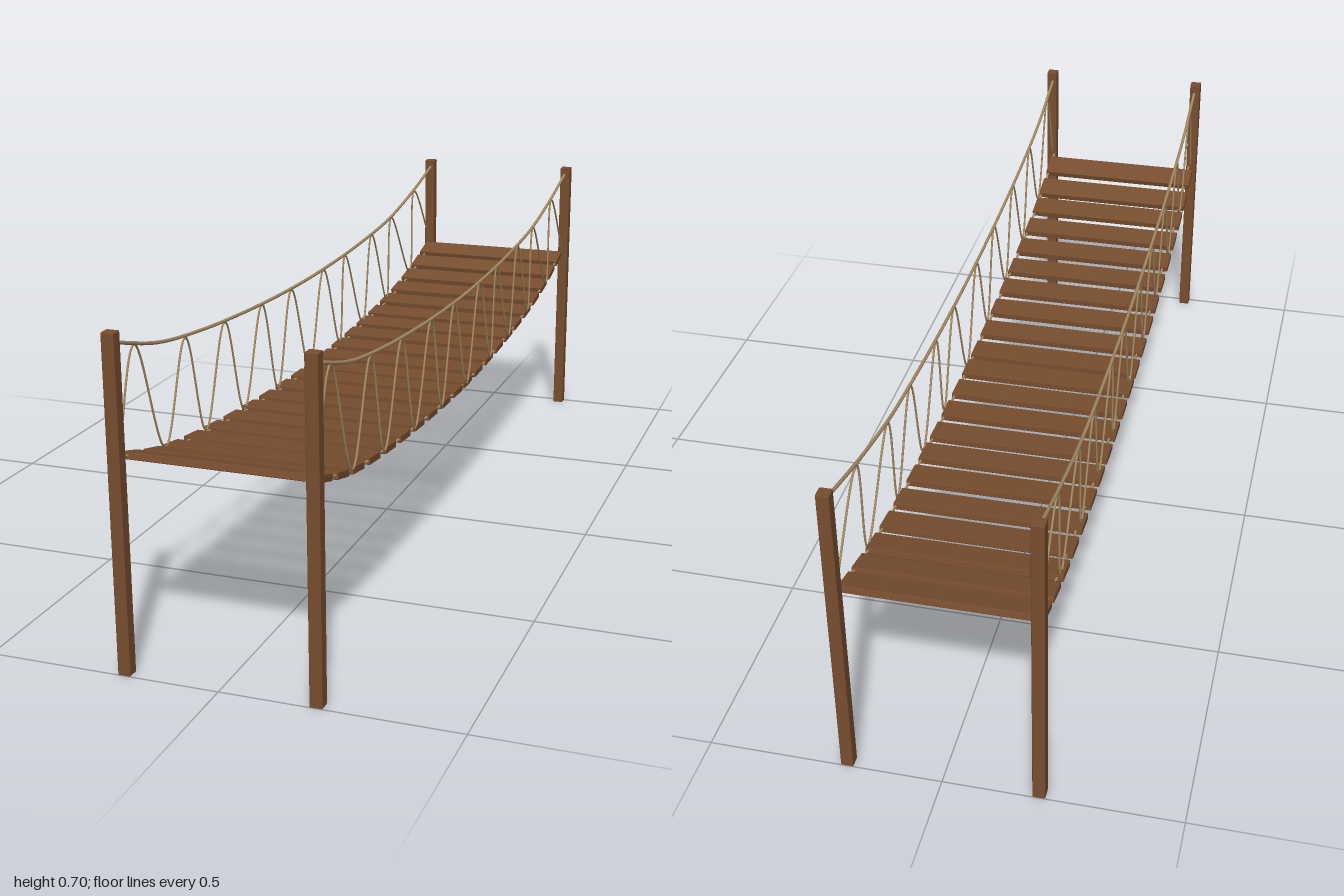
import * as THREE from 'three';
import { RoundedBoxGeometry } from 'three/addons/geometries/RoundedBoxGeometry.js';

const wood = new THREE.MeshStandardMaterial({ color: 0x784e2f });
wood.name = 'wood';
const rope = new THREE.MeshStandardMaterial({ color: 0xa88c64 });
rope.name = 'rope';

const POST_X = 0.202;
const ROPE_X = 0.2;

// Curves in the z-y plane, given as [z, y] pairs
const makeCurve = (pairs, x = 0) =>
  new THREE.CatmullRomCurve3(pairs.map(([z, y]) => new THREE.Vector3(x, y, z)));

const deckLine = [[0.985, 0.454], [0.8, 0.405], [0.6, 0.378], [0.4, 0.362], [0.2, 0.351], [0, 0.347],
  [-0.2, 0.351], [-0.4, 0.362], [-0.6, 0.379], [-0.8, 0.41], [-0.985, 0.456]];
const railLine = [[0.985, 0.678], [0.8, 0.628], [0.6, 0.601], [0.4, 0.585], [0.2, 0.575], [0, 0.571],
  [-0.2, 0.574], [-0.4, 0.583], [-0.6, 0.6], [-0.8, 0.637], [-0.985, 0.683]];
const lacingLine = [[0.98, 0.45], [0.9, 0.652], [0.785, 0.404], [0.68, 0.607], [0.595, 0.378], [0.487, 0.59],
  [0.395, 0.362], [0.285, 0.578], [0.2, 0.352], [0.11, 0.571], [0, 0.346], [-0.1, 0.571], [-0.21, 0.353],
  [-0.252, 0.574], [-0.385, 0.362], [-0.455, 0.586], [-0.58, 0.378], [-0.615, 0.6], [-0.785, 0.408],
  [-0.815, 0.637], [-0.98, 0.455]];

// Centre of each plank along z
const plankZ = [-0.937, -0.855, -0.767, -0.675, -0.58, -0.483, -0.39, -0.298, -0.203, -0.108, -0.016,
  0.068, 0.164, 0.264, 0.36, 0.458, 0.556, 0.654, 0.75, 0.835, 0.925];

function addMesh(parent, name, geometry, material) {
  const mesh = new THREE.Mesh(geometry, material);
  mesh.name = name;
  parent.add(mesh);
  return mesh;
}

export function createModel() {
  const model = new THREE.Group();
  model.name = 'ropeBridge';

  // Four corner posts with softened edges
  const postGeometry = new RoundedBoxGeometry(0.027, 0.7, 0.026, 1, 0.002);
  for (const x of [-POST_X, POST_X]) {
    for (const z of [-0.987, 0.987]) {
      addMesh(model, 'post', postGeometry, wood).position.set(x, 0.35, z);
    }
  }

  // Planks tilted along the sagging deck curve
  const deckSamples = makeCurve(deckLine).getPoints(400);
  const heightAt = (z) => {
    const i = Math.max(1, deckSamples.findIndex((p) => p.z <= z));
    const a = deckSamples[i - 1], b = deckSamples[i];
    return a.y + (b.y - a.y) * (z - a.z) / (b.z - a.z);
  };
  const plankGeometry = new RoundedBoxGeometry(0.409, 0.015, 0.066, 1, 0.0015);
  for (const z of plankZ) {
    const plank = addMesh(model, 'plank', plankGeometry, wood);
    plank.position.set(-0.004, heightAt(z), z);
    plank.rotation.x = -Math.atan2(heightAt(z + 0.03) - heightAt(z - 0.03), 0.06);
  }

  // Ropes on both sides: handrail, lacing, and a deck rope threaded through the planks
  for (const side of [-1, 1]) {
    const x = side * ROPE_X;
    addMesh(model, 'handRope', new THREE.TubeGeometry(makeCurve(railLine, x), 80, 0.0038, 8), rope);
    addMesh(model, 'lacingRope', new THREE.TubeGeometry(makeCurve(lacingLine, x), 320, 0.0024, 6), rope);
    addMesh(model, 'deckRope', new THREE.TubeGeometry(makeCurve(deckLine, x - side * 0.005), 80, 0.003, 8), rope);
  }

  return model;
}
